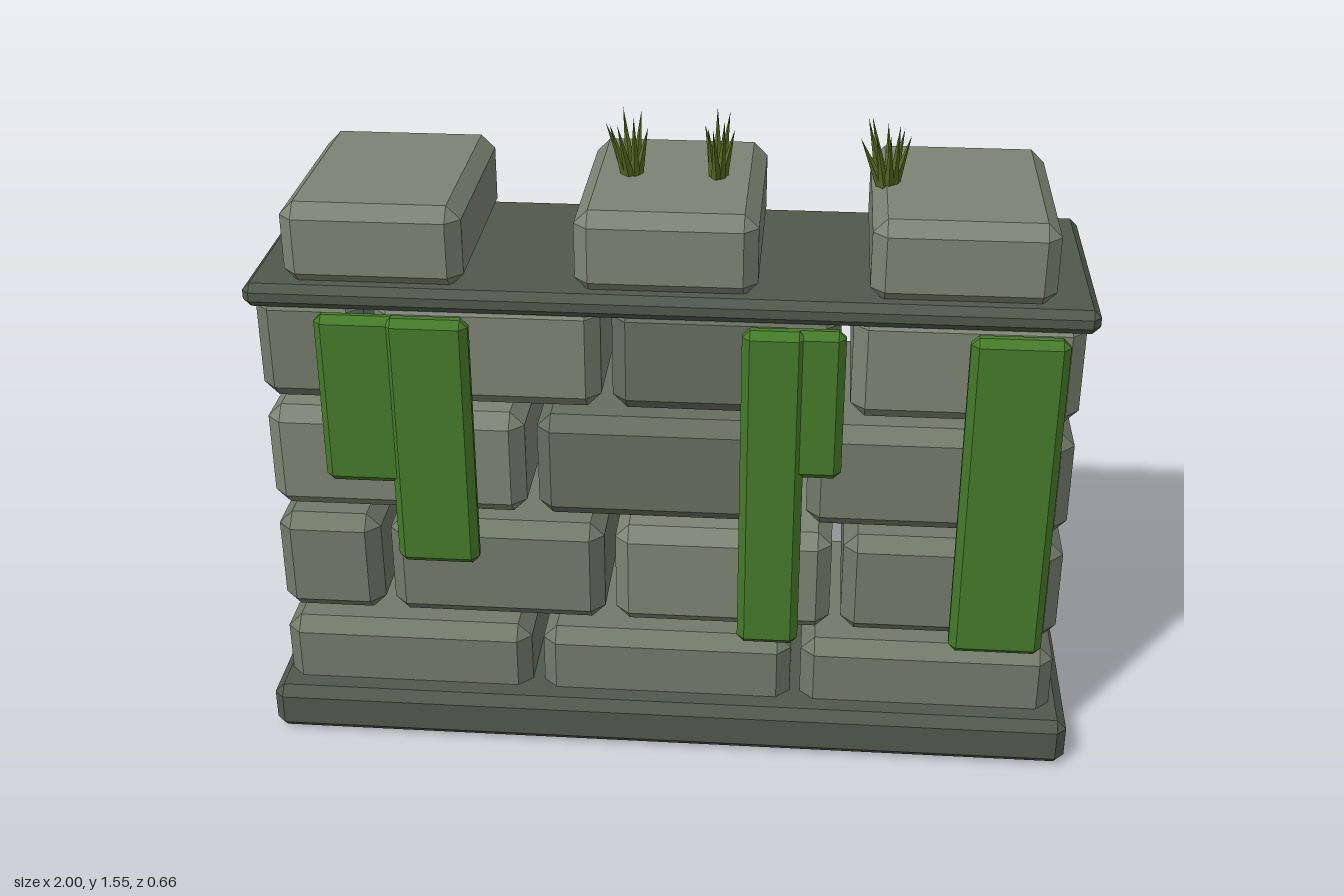
import * as THREE from 'three';
import { ConvexGeometry } from 'three/addons/geometries/ConvexGeometry.js';

const paint = (color) => new THREE.MeshStandardMaterial({ color });
const stones = [paint(0x7d8474), paint(0x727a6a), paint(0x666e5f)];
const trim = paint(0x50584b);
const moss = paint(0x467a2a);
const grass = paint(0x5a6a22);
grass.flatShading = true;

// Box between two limits on each axis, with every edge and corner chamfered by c
function chamferedBox(name, [x0, x1], [y0, y1], [z0, z1], c, material) {
  const half = [(x1 - x0) / 2, (y1 - y0) / 2, (z1 - z0) / 2];
  const points = [];
  for (const sx of [-1, 1]) for (const sy of [-1, 1]) for (const sz of [-1, 1]) {
    for (let axis = 0; axis < 3; axis++) {
      const h = half.map((v, i) => (i === axis ? v : v - c));
      points.push(new THREE.Vector3(sx * h[0], sy * h[1], sz * h[2]));
    }
  }
  const mesh = new THREE.Mesh(new ConvexGeometry(points), material);
  mesh.position.set((x0 + x1) / 2, (y0 + y1) / 2, (z0 + z1) / 2);
  mesh.name = name;
  return mesh;
}

// Tuft of pointed blades fanning out in an ellipse
function grassTuft(x, y, z, leanX, leanZ, shiftX, count) {
  const tuft = new THREE.Group();
  tuft.name = 'grassTuft';
  const up = new THREE.Vector3(0, 1, 0);
  for (let i = 0; i < count; i++) {
    const a = (i / count) * Math.PI * 2;
    const spread = i % 2 ? 0.6 : 1;
    const tip = new THREE.Vector3(
      Math.cos(a) * leanX * spread + shiftX, 0.12 + 0.035 * ((i * 3) % 4) / 3, Math.sin(a) * leanZ * spread);
    const length = tip.length();
    const blade = new THREE.Mesh(new THREE.ConeGeometry(0.013, length, 4).translate(0, length / 2, 0), grass);
    blade.name = 'grassBlade';
    blade.position.set(Math.cos(a) * leanX * 0.35, 0, Math.sin(a) * leanZ * 0.35);
    blade.quaternion.setFromUnitVectors(up, tip.normalize());
    tuft.add(blade);
  }
  tuft.position.set(x, y, z);
  return tuft;
}

export function createModel() {
  const wall = new THREE.Group();
  wall.name = 'ruinedWall';

  // Footing and coping slabs
  wall.add(chamferedBox('footing', [-1, 1], [0, 0.125], [-0.305, 0.33], 0.024, trim));
  wall.add(chamferedBox('copingSlab', [-0.99, 0.985], [1.155, 1.213], [-0.33, 0.265], 0.018, trim));

  // Courses in running bond: alternate rows of three and four blocks
  const three = [[-0.97, -0.345], [-0.315, 0.31], [0.335, 0.96]];
  const four = [[-0.97, -0.715], [-0.69, -0.157], [-0.13, 0.402], [0.43, 0.96]];
  const courses = [
    { blocks: three, y: [0.02, 0.288], z: [-0.275, 0.262], shades: [1, 1, 1] },
    { blocks: four, y: [0.315, 0.585], z: [-0.268, 0.25], shades: [1, 1, 0, 1] },
    { blocks: three, y: [0.612, 0.883], z: [-0.283, 0.248], shades: [0, 2, 1] },
    { blocks: four, y: [0.91, 1.18], z: [-0.29, 0.25], shades: [1, 0, 2, 0] },
  ];
  for (const { blocks, y, z, shades } of courses) {
    const course = new THREE.Group();
    course.name = 'blockCourse';
    blocks.forEach((x, i) => course.add(chamferedBox('stoneBlock', x, y, z, 0.034, stones[shades[i]])));
    wall.add(course);
  }

  // Battlements
  for (const x of [[-0.895, -0.473], [-0.215, 0.208], [0.463, 0.885]]) {
    wall.add(chamferedBox('merlon', x, [1.205, 1.405], [-0.307, 0.245], 0.033, stones[0]));
  }

  // Moss strips hanging on the front: x limits, lower end, z limits
  const strips = [
    [[-0.82, -0.62], 0.715, [0.245, 0.293]],
    [[-0.655, -0.457], 0.5, [0.25, 0.302]],
    [[0.176, 0.325], 0.305, [0.25, 0.302]],
    [[0.262, 0.415], 0.77, [0.245, 0.293]],
    [[0.695, 0.92], 0.305, [0.25, 0.302]],
  ];
  for (const [x, bottom, z] of strips) {
    wall.add(chamferedBox('mossStrip', x, [bottom, 1.152], z, 0.018, moss));
  }

  // Grass growing on the battlements
  wall.add(grassTuft(-0.105, 1.398, -0.035, 0.04, 0.045, -0.015, 7));
  wall.add(grassTuft(0.1, 1.398, -0.035, 0.028, 0.06, 0, 7));
  wall.add(grassTuft(0.498, 1.398, -0.025, 0.045, 0.055, -0.01, 9));

  return wall;
}
